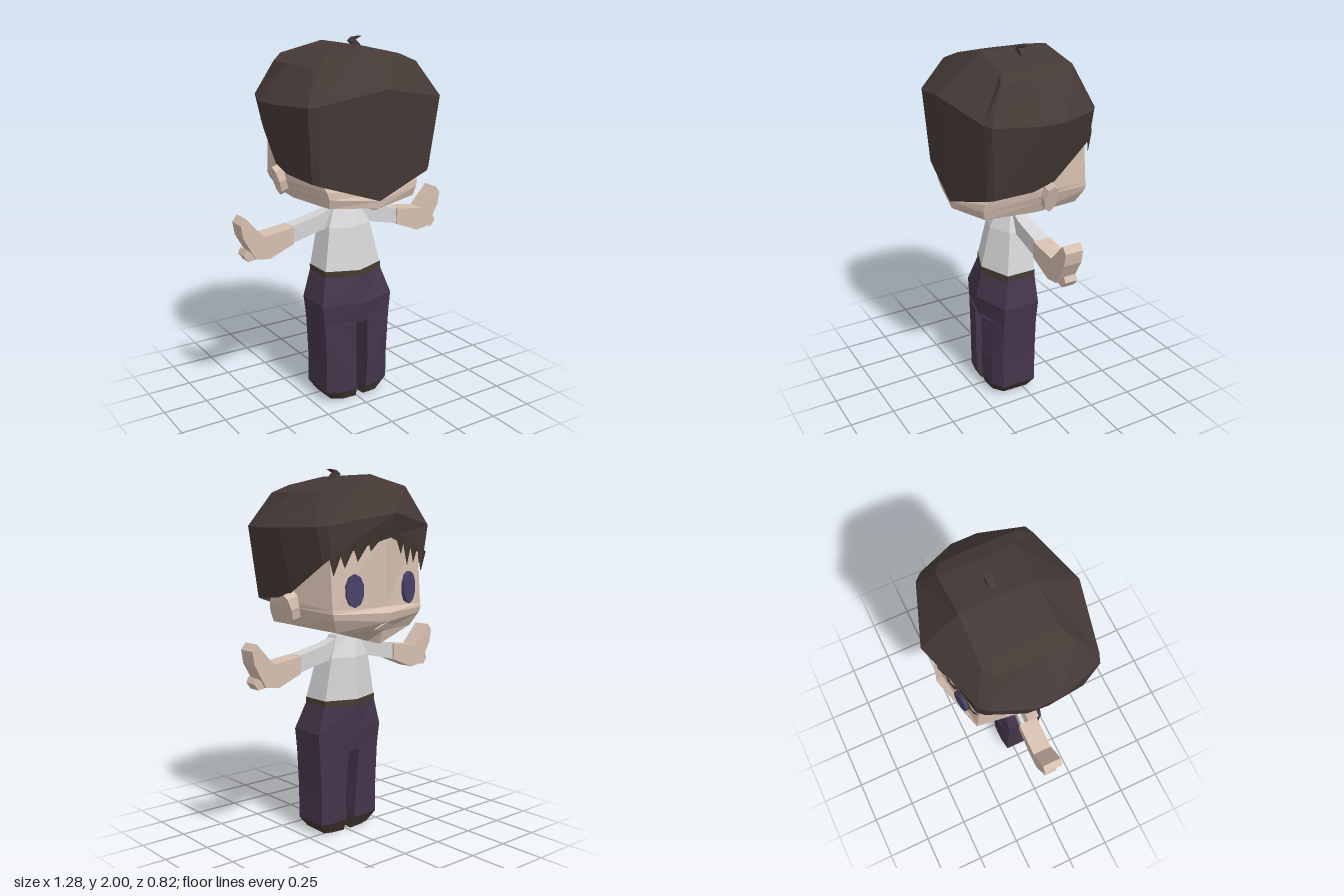
import * as THREE from 'three';

const mat = (name, color, side = THREE.FrontSide) => {
  const m = new THREE.MeshStandardMaterial({ color, side });
  m.name = name;
  return m;
};

// Split vertices so every face is flat
function faceted(geo) {
  const g = geo.index ? geo.toNonIndexed() : geo;
  g.computeVertexNormals();
  return g;
}

// Mirror a half ring (back centre -> +x side -> front centre) into a closed one
const whole = half => [...half, ...half.slice(1, -1).reverse().map(([x, y, z]) => [-x, y, z])];

// Skin closed rings, listed from bottom to top; the ends may be capped
function loft(rings, capBottom = true, capTop = true) {
  const n = rings[0].length, pos = [];
  const tri = (a, b, c) => pos.push(...a, ...b, ...c);
  const mid = r => [0, 1, 2].map(k => r.reduce((s, p) => s + p[k], 0) / n);
  const low = rings[0], high = rings[rings.length - 1];
  for (let j = 0; j < n; j++) {
    const k = (j + 1) % n;
    for (let i = 0; i < rings.length - 1; i++) {
      const a = rings[i], b = rings[i + 1];
      tri(a[j], a[k], b[k]);
      tri(a[j], b[k], b[j]);
    }
    if (capBottom) tri(low[k], low[j], mid(low));
    if (capTop) tri(high[j], high[k], mid(high));
  }
  const g = new THREE.BufferGeometry();
  g.setAttribute('position', new THREE.Float32BufferAttribute(pos, 3));
  return faceted(g);
}

// Ring at one height from [x, z] pairs
const level = (y, pts) => pts.map(([x, z]) => [x, y, z]);

// Side outline given thickness along z
function slab(points, z0, z1) {
  const shape = new THREE.Shape(points.map(p => new THREE.Vector2(...p)));
  const g = new THREE.ExtrudeGeometry(shape, { depth: z1 - z0, bevelEnabled: false });
  g.translate(0, 0, z0);
  return faceted(g);
}

export function createModel() {
  const hair = mat('hair brown', 0x453936, THREE.DoubleSide);
  const skin = mat('skin', 0xd6bfb0);
  const shirt = mat('shirt white', 0xd4d4d6);
  const pants = mat('trouser purple', 0x44354b);
  const belt = mat('belt brown', 0x463c31);
  const shoe = mat('shoe brown', 0x40342e);
  const eye = mat('eye violet', 0x48436a);

  const root = new THREE.Group();
  root.name = 'character';
  const add = (name, geo, material, parent = root) => {
    const m = new THREE.Mesh(geo, material);
    m.name = name;
    parent.add(m);
    return m;
  };

  // Head, with a keeled underside and a projecting muzzle at -z
  add('head', loft([
    [[0, 1.14, 0.31], [0, 1.135, 0.25], [0, 1.12, 0.02], [0, 1.1, -0.2], [0, 1.095, -0.29]],
    [[0, 1.16, 0.35], [0.26, 1.18, 0.29], [0.32, 1.19, 0.03], [0.26, 1.17, -0.25], [0, 1.165, -0.31]],
    [[0, 1.2, 0.355], [0.27, 1.23, 0.305], [0.345, 1.25, 0.03], [0.3, 1.24, -0.28], [0, 1.22, -0.36]],
    [[0, 1.23, 0.34], [0.28, 1.27, 0.3], [0.36, 1.29, 0.03], [0.31, 1.27, -0.285], [0, 1.265, -0.37]],
    [[0, 1.27, 0.33], [0.29, 1.3, 0.28], [0.365, 1.32, 0.03], [0.31, 1.29, -0.28], [0, 1.295, -0.335]],
    [[0, 1.68, 0.32], [0.28, 1.68, 0.27], [0.37, 1.68, 0.03], [0.31, 1.68, -0.25], [0, 1.68, -0.34]],
  ].map(whole), false), skin);

  // Mouth: shallow triangular lip on the muzzle
  const mouth = add('mouth', faceted(new THREE.CylinderGeometry(0.06, 0.06, 0.008, 3)), skin);
  mouth.scale.set(1.25, 1, 0.55);
  mouth.position.set(0, 1.195, -0.337);
  mouth.rotation.x = -2.15;

  // Hair shell: hem, rim, crown and ridge
  add('hair', loft([
    [[0, 1.2, 0.36], [0.33, 1.31, 0.315], [0.36, 1.32, 0.29], [0.385, 1.335, 0.08],
      [0.385, 1.37, -0.04], [0.345, 1.52, -0.25], [0.325, 1.55, -0.285], [0, 1.65, -0.37]],
    [[0, 1.775, 0.41], [0.35, 1.71, 0.34], [0.4, 1.705, 0.32], [0.47, 1.7, 0.09],
      [0.47, 1.7, -0.05], [0.39, 1.705, -0.25], [0.35, 1.71, -0.29], [0, 1.775, -0.41]],
    [[0, 1.97, 0.17], [0.23, 1.92, 0.18], [0.31, 1.88, 0.225], [0.315, 1.88, 0.05],
      [0.315, 1.88, -0.03], [0.31, 1.88, -0.18], [0.25, 1.915, -0.215], [0, 1.97, -0.21]],
    [[0, 1.97, 0.17], [0.23, 1.92, 0.18], [0.23, 1.92, 0.15], [0.23, 1.922, 0.05],
      [0.23, 1.922, -0.03], [0.23, 1.92, -0.15], [0.23, 1.92, -0.2], [0, 1.97, -0.21]],
    level(1.97, [[0, 0.17], [0, 0.15], [0, 0.1], [0, 0.05], [0, -0.03], [0, -0.1], [0, -0.15], [0, -0.21]]),
  ].map(whole), false, false), hair);

  // Fringe: pointed locks [centre, width, tip x, tip y]
  const fringe = new THREE.Group();
  fringe.name = 'fringe';
  root.add(fringe);
  const locks = [
    [0.3, 0.08, 0.31, 1.46], [0.24, 0.09, 0.25, 1.5], [0.16, 0.1, 0.18, 1.53], [0.08, 0.09, 0.11, 1.58],
    [-0.08, 0.09, -0.1, 1.56], [-0.15, 0.09, -0.16, 1.5], [-0.22, 0.08, -0.22, 1.51], [-0.3, 0.09, -0.3, 1.46],
  ];
  for (const [x, w, tx, ty] of locks) {
    const at = (px, y, out) => [px, y ?? 1.68 - Math.abs(px) * 0.33, -0.37 + Math.abs(px) * 0.26 - out];
    const l = at(x - w / 2, null, 0.002), r = at(x + w / 2, null, 0.002);
    const m = at(x, null, 0.02), tip = at(tx, ty, -0.002);
    const g = new THREE.BufferGeometry();
    g.setAttribute('position', new THREE.Float32BufferAttribute([l, m, tip, m, r, tip].flat(), 3));
    add('lock', faceted(g), hair, fringe);
  }

  // Tuft on the crown
  add('tuft', slab([[0.09, 1.945], [0.05, 1.975], [0.075, 1.995], [0.12, 2], [0.085, 1.982], [0.12, 1.95]],
    -0.035, -0.002), hair);

  // Torso, belt and hips
  const torso = [[0, 0.18], [0.175, 0.11], [0.175, -0.055], [0, -0.118]];
  add('shirt', loft([
    level(0.77, torso),
    level(1.0, [[0, 0.125], [0.13, 0.075], [0.13, -0.055], [0, -0.1]]),
    level(1.12, [[0, 0.055], [0.075, 0.035], [0.075, -0.03], [0, -0.045]]),
  ].map(whole)), shirt);
  add('belt', loft([0.735, 0.77].map(y => whole(level(y, torso.map(([x, z]) => [x * 1.02, z * 1.02]))))), belt);
  add('hips', loft([
    level(0.475, [[0, 0.2], [0.21, 0.155], [0.21, -0.05], [0, -0.095]]),
    level(0.59, [[0, 0.217], [0.222, 0.155], [0.222, -0.055], [0, -0.11]]),
    level(0.74, torso.map(([x, z]) => [x * 1.02, z])),
  ].map(whole)), pants);

  // Paired parts, built on +x and mirrored
  for (const side of [1, -1]) {
    const half = new THREE.Group();
    half.name = side > 0 ? 'leftSide' : 'rightSide';
    half.scale.x = side;
    root.add(half);

    const ankle = [[0.03, 0.2], [0.13, 0.19], [0.2, 0.15], [0.2, -0.05], [0.13, -0.06], [0.03, -0.06]];
    add('trouserLeg', loft([
      level(0.07, ankle),
      level(0.25, [[0.037, 0.205], [0.13, 0.19], [0.198, 0.155], [0.198, -0.05], [0.13, -0.063], [0.037, -0.065]]),
      level(0.48, [[0.037, 0.203], [0.13, 0.18], [0.21, 0.155], [0.21, -0.05], [0.13, -0.075], [0.037, -0.092]]),
    ]), pants, half);
    add('shoe', loft([
      [[0.025, 0.02, 0.18], [0.11, 0.02, 0.175], [0.16, 0.015, 0.13], [0.16, 0.01, -0.02], [0.11, 0.005, -0.03], [0.025, 0, -0.03]],
      level(0.07, ankle),
    ]), shoe, half);

    // Sleeve runs outward from the shoulder
    const section = (x, y0, y1, d) => [[x, y0, -d], [x, y1, -d], [x, y1, d], [x, y0, d]];
    add('sleeve', loft([section(0.06, 0.99, 1.11, 0.03), section(0.16, 0.985, 1.075, 0.037),
      section(0.337, 0.945, 1.036, 0.042)]), shirt, half);
    add('hand', slab([[0.335, 0.943], [0.48, 0.885], [0.56, 0.897], [0.628, 1.02], [0.64, 1.09],
      [0.612, 1.125], [0.51, 1.012], [0.335, 1.034]], -0.052, 0.05), skin, half);
    add('thumb', slab([[0.54, 0.895], [0.595, 0.885], [0.622, 0.92], [0.608, 0.95], [0.575, 0.93]],
      -0.035, 0.035), skin, half);

    const ear = add('ear', faceted(new THREE.CylinderGeometry(0.08, 0.08, 0.1, 8)), skin, half);
    ear.scale.z = 0.5;
    ear.position.set(0.35, 1.295, -0.018);
    ear.rotation.z = -Math.PI / 2 - 0.3;

    const iris = add('eye', faceted(new THREE.CylinderGeometry(0.085, 0.085, 0.02, 10)), eye, half);
    iris.scale.x = 0.62;
    iris.position.set(0.19, 1.385, -0.309);
    iris.rotation.set(-Math.PI / 2, 0, -0.18, 'YXZ');
    iris.rotation.set(-Math.PI / 2, -0.19, 0, 'YXZ');
  }
  return root;
}
